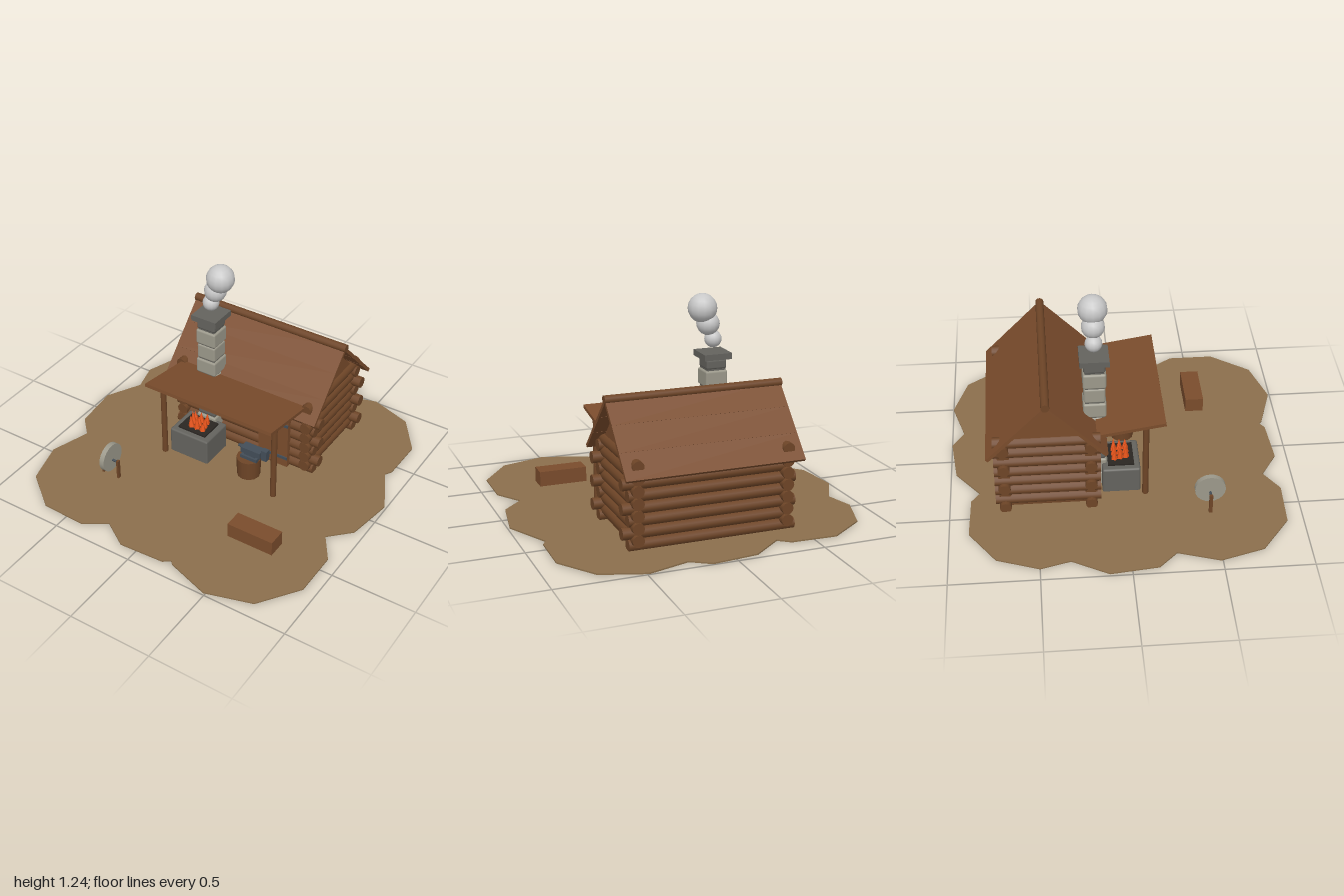
import * as THREE from 'three';
import { RoundedBoxGeometry } from 'three/addons/geometries/RoundedBoxGeometry.js';

function material(name, color, flatShading = false) {
  const m = new THREE.MeshStandardMaterial({ color, flatShading });
  m.name = name;
  return m;
}

export function createModel() {
  const dirt = material('dirt', 0x8b6f4c);
  const log = material('log', 0x6e4527);
  const plank = material('plank', 0x7a4c2c);
  const stone = material('stone', 0x9c998b);
  const darkStone = material('darkStone', 0x64635e);
  const iron = material('iron', 0x434e58);
  const flame = material('flame', 0xe8541a, true);
  const coal = material('coal', 0x2a2622, true);
  const smoke = material('smoke', 0xc8c8c8);

  const model = new THREE.Group();
  model.name = 'forgeCabin';

  const add = (name, geometry, mat, x, y, z, parent = model) => {
    const mesh = new THREE.Mesh(geometry, mat);
    mesh.name = name;
    mesh.position.set(x, y, z);
    parent.add(mesh);
    return mesh;
  };
  const box = (name, mat, w, h, d, x, y, z, parent) =>
    add(name, new THREE.BoxGeometry(w, h, d), mat, x, y, z, parent);
  const group = (name) => {
    const g = new THREE.Group();
    g.name = name;
    model.add(g);
    return g;
  };
  // Cylinders lying along x or z
  const rodX = (r, length, sides = 12) => new THREE.CylinderGeometry(r, r, length, sides).rotateZ(Math.PI / 2);
  const rodZ = (r, length, sides = 12) => new THREE.CylinderGeometry(r, r, length, sides).rotateX(Math.PI / 2);

  // Ragged dirt patch, outline as x, z pairs
  const outline = [
    [-0.84, -0.74], [-0.63, -0.89], [-0.365, -0.88], [-0.3, -0.83], [-0.125, -0.97], [0.14, -1],
    [0.25, -0.93], [0.49, -1], [0.74, -0.915], [0.89, -0.7], [0.885, -0.44], [0.86, -0.4],
    [0.99, -0.14], [0.945, 0.14], [0.825, 0.26], [0.925, 0.41], [0.925, 0.68], [0.76, 0.91],
    [0.49, 0.99], [0.23, 0.905], [0.21, 0.885], [0.17, 0.915], [-0.1, 0.93], [-0.255, 0.83],
    [-0.385, 0.915], [-0.655, 0.905], [-0.865, 0.74], [-0.935, 0.49], [-0.86, 0.255], [-0.96, 0.15],
    [-0.99, -0.125], [-0.88, -0.33], [-0.925, -0.5],
  ];
  const patch = new THREE.Shape(outline.map(([x, z]) => new THREE.Vector2(x, z)));
  const patchGeo = new THREE.ExtrudeGeometry(patch, { depth: 0.008, bevelEnabled: false });
  add('ground', patchGeo.rotateX(Math.PI / 2), dirt, 0, 0.01, 0);

  // Log walls with staggered ends
  const cabin = group('cabin');
  const midX = 0.02, midZ = -0.435, rows = 7, pitch = 0.068, logR = 0.034;
  box('innerWalls', log, 0.86, 0.5, 0.49, midX, 0.25, midZ, cabin);
  for (let i = 0; i < rows; i++) {
    const y = 0.035 + i * pitch;
    const shift = i % 2 ? 0.05 : 0.015;
    for (const side of [-1, 1]) {
      add('longLog', rodX(logR, 0.96), log, shift, y, midZ + side * 0.245, cabin);
      add('sideLog', rodZ(logR, 0.6), log, midX + side * 0.43, y + pitch / 2, midZ, cabin);
    }
  }

  // Gable block under the roof
  const gable = new THREE.Shape([[-0.228, 0.49], [0.228, 0.49], [0, 0.732]].map(p => new THREE.Vector2(...p)));
  const gableGeo = new THREE.ExtrudeGeometry(gable, { depth: 0.88, bevelEnabled: false });
  add('gable', gableGeo.rotateY(Math.PI / 2), plank, midX - 0.44, 0, midZ, cabin);

  // Roof slopes of overlapping boards and a ridge pole
  for (const side of [-1, 1]) {
    const slope = group(side > 0 ? 'frontRoof' : 'backRoof');
    slope.position.set(midX, 0.775, midZ);
    slope.rotation.x = side * Math.atan2(0.35, 0.34);
    for (let i = 0; i < 3; i++) {
      box('roofBoard', plank, 1.02, 0.02, 0.163, 0, -0.01 - i * 0.001, side * (0.0815 + i * 0.163), slope);
    }
  }
  add('ridgePole', rodX(0.024, 1.03), log, midX, 0.768, midZ, cabin);

  // Door with iron straps
  const door = group('door');
  box('doorPanel', plank, 0.2, 0.385, 0.03, 0.24, 0.1925, -0.15, door);
  for (const y of [0.075, 0.315]) box('doorStrap', iron, 0.195, 0.018, 0.008, 0.2425, y, -0.132, door);

  // Awning on two posts
  const awning = box('awning', plank, 0.85, 0.02, 0.39, 0.015, 0.515, 0.04);
  awning.rotation.x = -0.165;
  for (const x of [-0.36, 0.4]) {
    add('awningPost', new THREE.CylinderGeometry(0.018, 0.018, 0.5, 10), log, x, 0.25, 0.125);
  }

  // Stacked stone chimney
  const chimney = group('chimney');
  for (let i = 0; i < 9; i++) {
    const top = i === 8;
    const width = i % 2 ? 0.132 : 0.122;
    const height = top ? 0.056 : 0.096;
    add('chimneyStone', new RoundedBoxGeometry(width, height, width, 1, 0.012),
      top || i === 2 ? darkStone : stone, -0.206, top ? 0.841 : 0.05 + i * 0.101, -0.155, chimney);
  }
  box('chimneyCore', darkStone, 0.108, 0.86, 0.108, -0.206, 0.43, -0.155, chimney);
  box('chimneyCap', darkStone, 0.165, 0.035, 0.165, -0.206, 0.888, -0.155, chimney);

  // Smoke puffs
  for (const [x, y, r] of [[-0.206, 0.977, 0.049], [-0.175, 1.067, 0.066], [-0.141, 1.157, 0.083]]) {
    add('smokePuff', new THREE.SphereGeometry(r, 14, 10), smoke, x, y, -0.155);
  }

  // Forge block with coals and flames
  const forge = group('forge');
  add('forgeBlock', new RoundedBoxGeometry(0.265, 0.172, 0.22, 1, 0.012), darkStone, -0.207, 0.086, -0.01, forge);
  box('coalBed', coal, 0.19, 0.02, 0.15, -0.207, 0.172, -0.01, forge);
  for (let i = 0; i < 9; i++) {
    const col = i % 3 - 1, row = Math.floor(i / 3) - 1;
    const h = 0.065 + ((i * 5) % 4) * 0.009;
    const tongue = add('flame', new THREE.ConeGeometry(0.021, h, 5), flame,
      -0.203 + col * 0.042 + row * 0.007, 0.178 + h / 2, -0.012 + row * 0.034, forge);
    tongue.rotation.z = -col * 0.08;
  }

  // Chopping stump with an anvil and hammer
  add('stump', new THREE.CylinderGeometry(0.074, 0.069, 0.135, 12), log, 0.175, 0.0675, 0.03);
  const anvil = group('anvil');
  box('anvilFoot', iron, 0.11, 0.022, 0.065, 0.19, 0.146, 0.03, anvil);
  box('anvilWaist', iron, 0.075, 0.03, 0.04, 0.19, 0.168, 0.03, anvil);
  box('anvilTop', iron, 0.13, 0.036, 0.06, 0.2, 0.193, 0.03, anvil);
  const horn = new THREE.CylinderGeometry(0.008, 0.017, 0.04, 8).rotateZ(Math.PI / 2);
  add('anvilHorn', horn, iron, 0.125, 0.195, 0.03, anvil);
  add('hammerHandle', rodX(0.007, 0.06, 8), log, 0.26, 0.195, 0.03, anvil);
  box('hammerHead', iron, 0.035, 0.07, 0.035, 0.286, 0.195, 0.03, anvil);

  // Grindstone on two stakes
  const grinder = group('grindstone');
  add('grindWheel', rodX(0.088, 0.03, 20), stone, -0.5, 0.143, 0.48, grinder);
  add('grindAxle', rodX(0.007, 0.12, 8), iron, -0.5, 0.125, 0.48, grinder);
  for (const x of [-0.555, -0.447]) box('grindStake', log, 0.014, 0.135, 0.02, x, 0.0675, 0.48, grinder);

  // Wooden trough
  box('trough', plank, 0.288, 0.1, 0.11, 0.508, 0.05, 0.5);

  return model;
}
